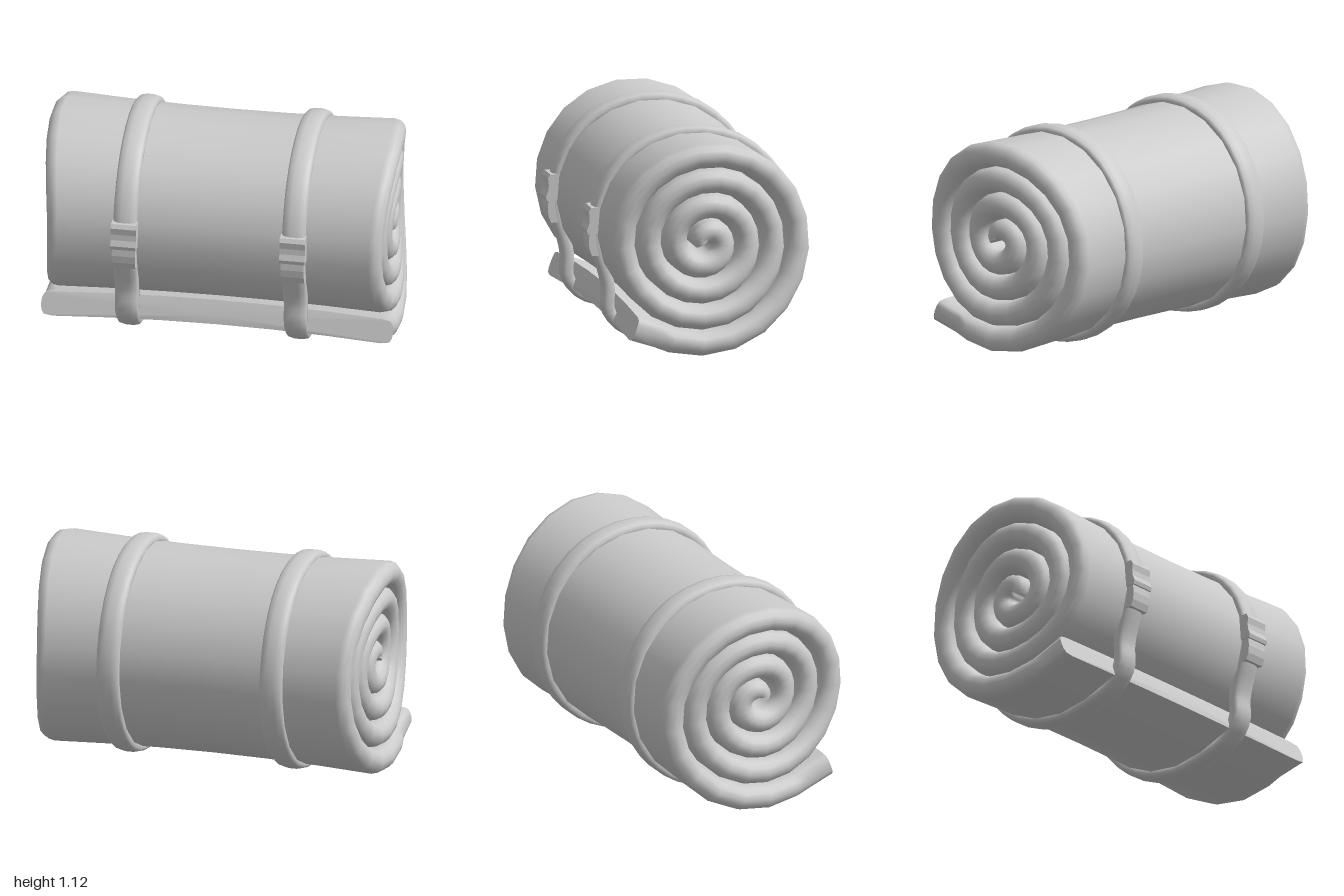
import * as THREE from 'three';

const TAU = Math.PI * 2;
const HALF = 0.062; // half the blanket thickness
const material = new THREE.MeshStandardMaterial({ color: 0xcccccc, side: THREE.DoubleSide });

// Sweeps a ring of [along axis, outward] offsets along a path in the z-y plane.
function sweep(path, ring, closed, flare = () => 1) {
  const pos = [], index = [], n = path.length;
  const rings = path.map((p, i) => {
    const a = path[closed ? (i + n - 1) % n : Math.max(i - 1, 0)];
    const b = path[closed ? (i + 1) % n : Math.min(i + 1, n - 1)];
    const t = b.clone().sub(a).normalize();
    return ring(i).map(([u, d]) => {
      const s = flare(u);
      return [u, p.y * s - t.x * d, p.x * s + t.y * d];
    });
  });
  const m = rings[0].length;
  rings.forEach(r => r.forEach(q => pos.push(...q)));
  for (let i = 0; i < (closed ? n : n - 1); i++) {
    const k = (i + 1) % n;
    for (let j = 0; j < m; j++) {
      const l = (j + 1) % m;
      index.push(i * m + j, k * m + j, i * m + l, k * m + j, k * m + l, i * m + l);
    }
  }
  // flat caps with their own vertices
  if (!closed) [0, n - 1].forEach(i => {
    const start = pos.length / 3;
    rings[i].forEach(q => pos.push(...q));
    const mid = rings[i].reduce((c, q) => c.map((x, k) => x + q[k] / m), [0, 0, 0]);
    pos.push(...mid);
    for (let j = 0; j < m; j++) {
      const a = start + j, b = start + (j + 1) % m;
      index.push(start + m, ...(i === 0 ? [a, b] : [b, a]));
    }
  });
  const g = new THREE.BufferGeometry();
  g.setAttribute('position', new THREE.Float32BufferAttribute(pos, 3));
  g.setIndex(index);
  g.computeVertexNormals();
  return g;
}

// Rolled sheet: spiral from the core outwards, then a straight loose tail.
function blanketGeometry() {
  const PITCH = 0.13, BOTTOM = 3.9, path = [], rows = [];
  const steps = 80, from = 0.15, to = BOTTOM + 0.055;
  for (let i = 0; i <= steps; i++) {
    const turn = from + (to - from) * i / steps;
    const a = TAU * (turn - BOTTOM), r = PITCH * turn;
    path.push(new THREE.Vector2(r * Math.sin(a) * 1.05, -r * Math.cos(a) * 1.02));
    // reach of the right and left rims, which bulge at the top and bottom
    const left = 0.86 + 0.13 * r * Math.cos(a) ** 2;
    const right = left + r * (0.055 * Math.sin(a) - 0.075);
    rows.push({ left, right, h: HALF * Math.min(1, 0.45 + turn), round: 1 });
  }
  const end = path[steps];
  [0.07, 0.14, 0.2].forEach(d => {
    path.push(new THREE.Vector2(end.x + d, end.y + d * 0.37));
    rows.push({ left: 0.9, right: 0.86 + d * 0.2, h: HALF, round: 0.4 });
  });
  // long section with rounded rims, squarer at the tail
  const ring = i => {
    const { left, right, h, round } = rows[i];
    const L = (left + right) / 2 - h, shift = (right - left) / 2;
    const rim = [];
    for (let k = 0; k <= 6; k++) {
      const a = -Math.PI / 2 + Math.PI * k / 6;
      rim.push([L + h * Math.max(0, Math.cos(a)) ** round, h * Math.sin(a)]);
    }
    const over = [0.66, 0.33, 0, -0.33, -0.66].map(f => [L * f, h]);
    const half = [...rim, ...over];
    return [...half, ...half.map(([u, d]) => [-u, -d])].map(([u, d]) => [u + shift, d]);
  };
  return sweep(path, ring, false, u => 0.95 + 0.05 * Math.min(1, (u / 0.86) ** 2));
}

// Closed strap loop that hugs the roll and dips in above the tail.
function strapGeometry() {
  const points = [
    [0, -0.567], [0.2, -0.54], [0.34, -0.495], [0.415, -0.4], [0.415, -0.29], [0.43, -0.21],
    [0.47, -0.08], [0.478, 0.08], [0.4, 0.285], [0.245, 0.432], [0, 0.499], [-0.27, 0.44],
    [-0.46, 0.26], [-0.537, 0.03], [-0.52, -0.175], [-0.423, -0.358], [-0.24, -0.505]
  ].map(([z, y]) => new THREE.Vector3(z, y, 0));
  const path = new THREE.CatmullRomCurve3(points, true).getPoints(48).slice(0, -1)
    .map(p => new THREE.Vector2(p.x, p.y));
  const ring = [[0.058, -0.03], [0.06, 0.005], [0.048, 0.02], [0.02, 0.027],
    [-0.02, 0.027], [-0.048, 0.02], [-0.06, 0.005], [-0.058, -0.03]];
  return sweep(path, () => ring, true);
}

// Side profile (z, y) extruded across the strap.
function plateGeometry(profile, width) {
  const shape = new THREE.Shape(profile.map(p => new THREE.Vector2(...p)));
  return new THREE.ExtrudeGeometry(shape, { depth: width, bevelEnabled: false })
    .translate(0, 0, -width / 2).rotateY(-Math.PI / 2);
}

function add(parent, geometry, name) {
  const mesh = new THREE.Mesh(geometry, material);
  mesh.name = name;
  parent.add(mesh);
}

export function createModel() {
  const model = new THREE.Group();
  model.name = 'bedroll';
  const roll = new THREE.Group();
  roll.name = 'roll';
  roll.rotation.y = THREE.MathUtils.degToRad(20);
  roll.position.set(0.007, 0.595, 0.019);
  model.add(roll);

  add(roll, blanketGeometry(), 'blanket');

  // two straps, each with a two-part buckle
  const strap = strapGeometry();
  const upper = plateGeometry([[0.45, 0], [0.528, 0], [0.533, 0.02], [0.521, 0.05],
    [0.518, 0.08], [0.522, 0.115], [0.51, 0.135], [0.44, 0.135]], 0.13);
  const lower = plateGeometry([[0.44, -0.115], [0.505, -0.115], [0.518, -0.08],
    [0.522, -0.04], [0.518, 0], [0.45, 0]], 0.118);
  [['left', 0.408], ['right', -0.455]].forEach(([side, x]) => {
    const group = new THREE.Group();
    group.name = side + 'Strap';
    group.position.x = x;
    add(group, strap, 'strapLoop');
    add(group, upper, 'buckleTop');
    add(group, lower, 'buckleBase');
    roll.add(group);
  });
  return model;
}
